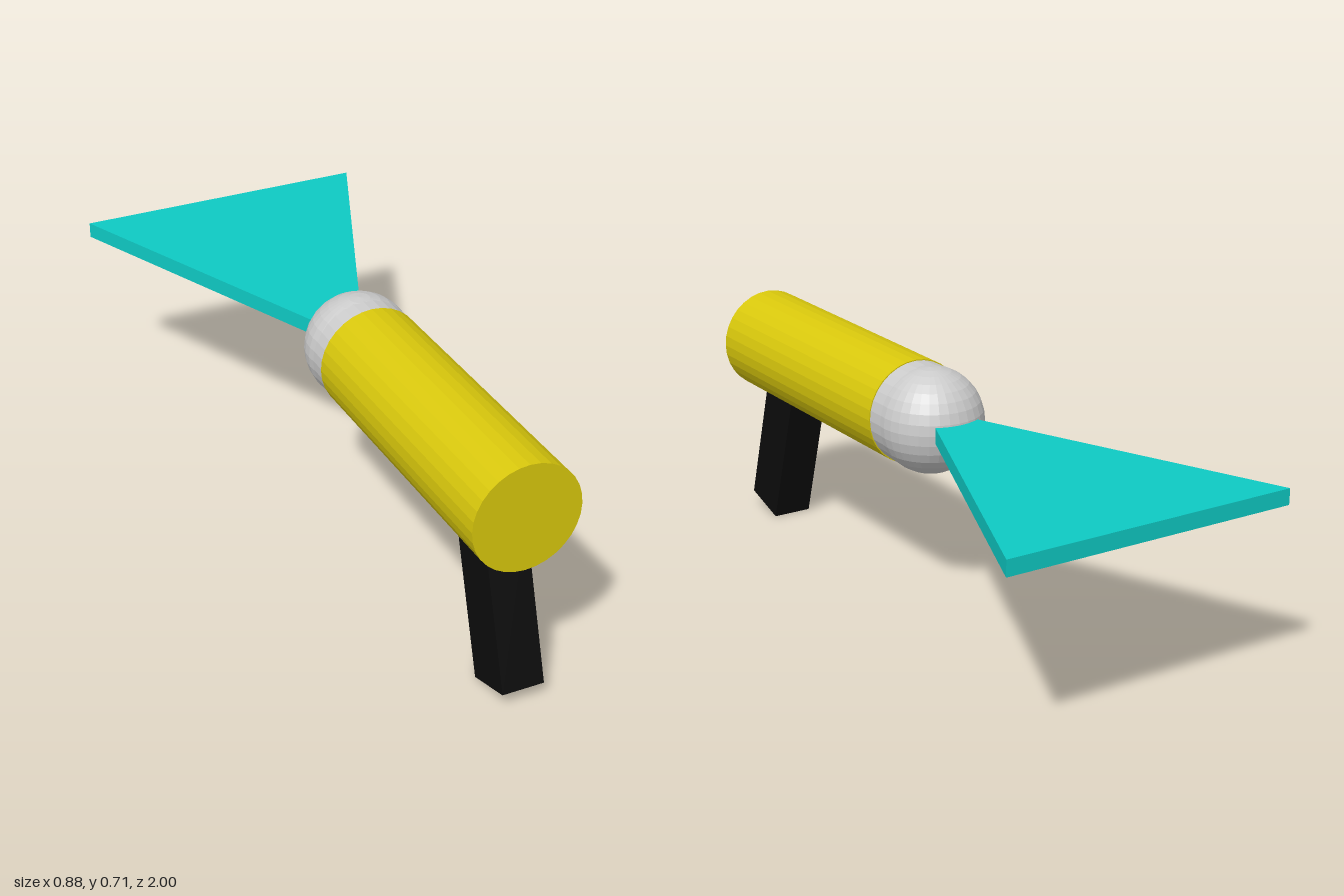
import * as THREE from 'three';

const AXIS_Y = 0.56; // height of the barrel axis
const RADIUS = 0.155;

export function createModel() {
  const model = new THREE.Group();

  const add = (name, geometry, color, x, y, z) => {
    const material = new THREE.MeshStandardMaterial({ color, flatShading: true });
    const mesh = new THREE.Mesh(geometry, material);
    mesh.name = name;
    mesh.position.set(x, y, z);
    model.add(mesh);
    return mesh;
  };

  // Barrel: a tube lying along z, closed at both ends
  const barrel = new THREE.CylinderGeometry(RADIUS, RADIUS, 0.88, 32).rotateX(Math.PI / 2);
  add('barrel', barrel, 0xd9c80c, 0, AXIS_Y, 0.54);

  // Rounded head with a short collar joining it to the barrel
  add('head', new THREE.SphereGeometry(RADIUS, 32, 16), 0xcccccc, 0, AXIS_Y, 0.02);
  const collar = new THREE.CylinderGeometry(0.152, 0.153, 0.09, 32).rotateX(Math.PI / 2);
  add('collar', collar, 0xcccccc, 0, AXIS_Y, 0.06);

  // Tilted grip, its lower end swinging towards the front
  const length = 0.46;
  const grip = new THREE.BoxGeometry(0.122, length, 0.152).translate(0, length / 2, 0);
  add('grip', grip, 0x0c0c0c, 0, 0.0225, 0.9275).rotation.x = -0.29;

  // Flat fan widening away from the head; shape y becomes -z
  const outline = new THREE.Shape();
  outline.moveTo(0.03, 0.02);
  outline.lineTo(0.44, 1);
  outline.lineTo(-0.44, 1);
  outline.lineTo(-0.03, 0.02);
  outline.closePath();
  const fan = new THREE.ExtrudeGeometry(outline, { depth: 0.046, bevelEnabled: false });
  fan.rotateX(-Math.PI / 2);
  add('fan', fan, 0x0ecac4, 0, 0.539, 0);

  return model;
}
